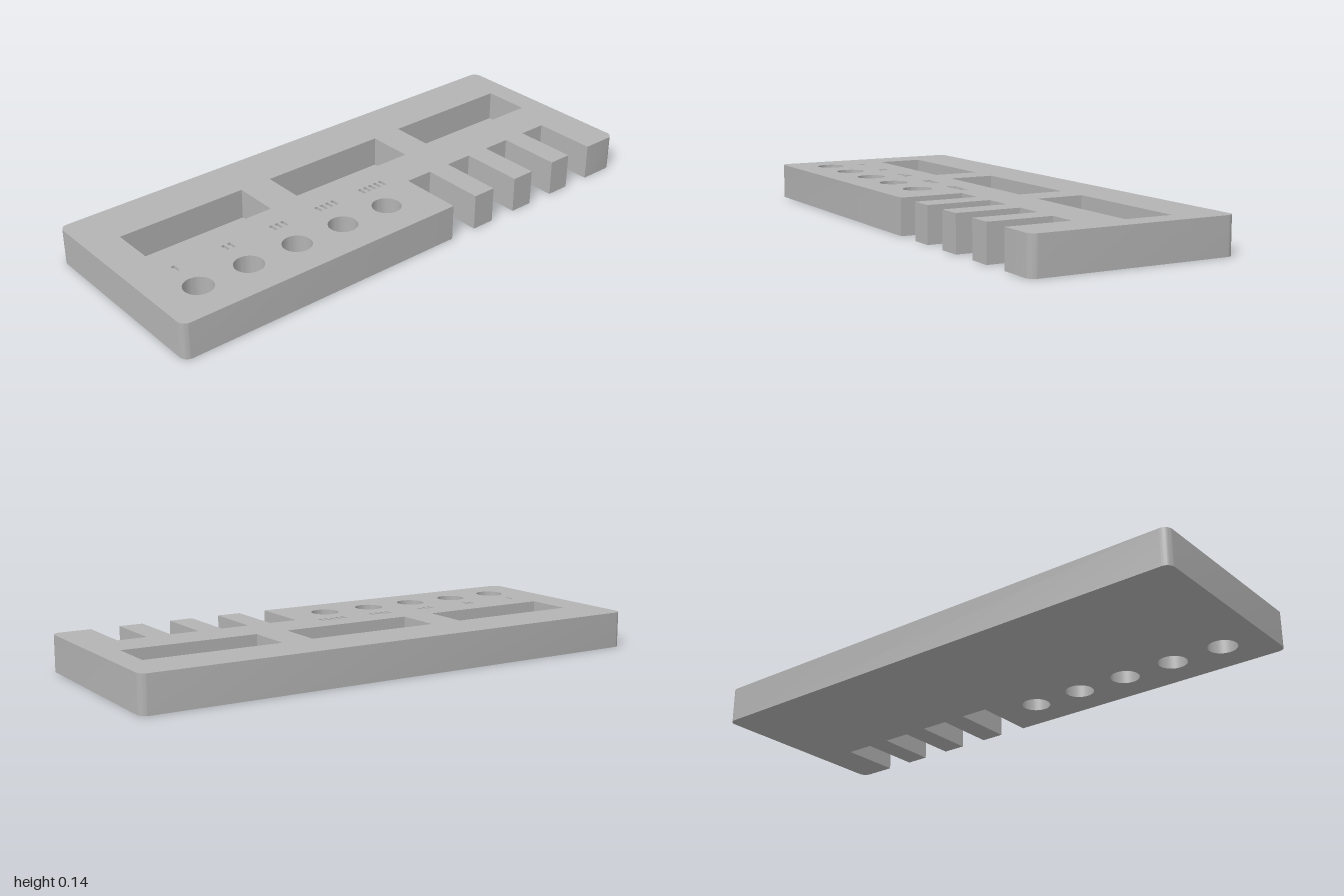
import * as THREE from 'three';
import { mergeGeometries, toCreasedNormals } from 'three/addons/utils/BufferGeometryUtils.js';

const H = 0.135, HALF_Z = 0.382, FLOOR = 0.02, MARK_FLOOR = H - 0.01;

// All plan loops are lists of Vector2(x, z).
const rect = (x0, x1, z0, z1) =>
  [[x0, z0], [x1, z0], [x1, z1], [x0, z1]].map(p => new THREE.Vector2(...p));

const arc = (x, z, r, from, to, n) => Array.from({ length: n + 1 }, (_, i) => {
  const a = from + (to - from) * i / n;
  return new THREE.Vector2(x + r * Math.cos(a), z + r * Math.sin(a));
});

// Horizontal face at height y, facing up or down
function cap(loop, holes, y, up) {
  const shape = new THREE.Shape(loop);
  shape.holes = holes.map(h => new THREE.Path(h));
  const g = new THREE.ShapeGeometry(shape);
  if (up) g.index.array.reverse();
  g.rotateX(Math.PI / 2).translate(0, y, 0);
  const out = g.toNonIndexed();
  out.deleteAttribute('uv');
  out.computeVertexNormals();
  return out;
}

// Vertical walls around a loop, facing outward, or inward for an opening
function wall(loop, y0, y1, inward = false) {
  const pts = (THREE.ShapeUtils.area(loop) > 0) === inward ? [...loop].reverse() : loop;
  const pos = [];
  pts.forEach((a, i) => {
    const b = pts[(i + 1) % pts.length];
    pos.push(b.x, y0, b.y, a.x, y0, a.y, a.x, y1, a.y);
    pos.push(b.x, y0, b.y, a.x, y1, a.y, b.x, y1, b.y);
  });
  const g = new THREE.BufferGeometry();
  g.setAttribute('position', new THREE.Float32BufferAttribute(pos, 3));
  g.computeVertexNormals();
  return toCreasedNormals(g, 0.6);
}

export function createModel() {
  const group = new THREE.Group();
  const grey = new THREE.MeshStandardMaterial({ color: 0xb3b3b3 });
  grey.name = 'grey';
  const add = (name, parts) => {
    const mesh = new THREE.Mesh(mergeGeometries(parts), grey);
    mesh.name = name;
    group.add(mesh);
  };

  // Plate outline: rounded corners, with open slots along the front right
  const r = 0.03, q = Math.PI / 2;
  const cx = 1 - r, cz = HALF_Z - r;
  const outline = [
    ...arc(-cx, -cz, r, -2 * q, -q, 8),
    ...arc(cx, -cz, r, -q, 0, 8),
    ...arc(cx, cz, r, 0, q, 8),
  ];
  for (let i = 3; i >= 0; i--) {
    const x0 = 0.143 + i * 0.2, x1 = x0 + 0.109;
    outline.push(...[[x1, HALF_Z], [x1, 0.142], [x0, 0.142], [x0, HALF_Z]]
      .map(p => new THREE.Vector2(...p)));
  }
  outline.push(...arc(-cx, cz, r, q, 2 * q, 8));

  // Round through holes, each with a row of counting marks behind it
  const holes = [], marks = [];
  for (let i = 0; i < 5; i++) {
    const x = -0.837 + i * 0.2;
    holes.push(arc(x, 0.228, 0.053, 0, 4 * q, 40).slice(0, -1));
    for (let j = 0; j <= i; j++) {
      const mx = x + j * 0.024;
      marks.push(rect(mx - 0.0065, mx + 0.0065, 0.076, 0.11));
    }
  }

  // Rectangular pockets
  const pockets = [
    rect(-0.872, -0.364, -0.194, -0.018),
    rect(-0.237, 0.272, -0.194, -0.018),
    rect(0.395, 0.909, -0.198, -0.018),
  ];

  add('plate', [
    cap(outline, [...holes, ...marks, ...pockets], H, true),
    cap(outline, holes, 0, false),
    wall(outline, 0, H),
  ]);
  add('roundHoles', holes.map(h => wall(h, 0, H, true)));
  add('pockets', pockets.flatMap(p => [wall(p, FLOOR, H, true), cap(p, [], FLOOR, true)]));
  add('countingMarks', marks.flatMap(m => [wall(m, MARK_FLOOR, H, true), cap(m, [], MARK_FLOOR, true)]));
  return group;
}
